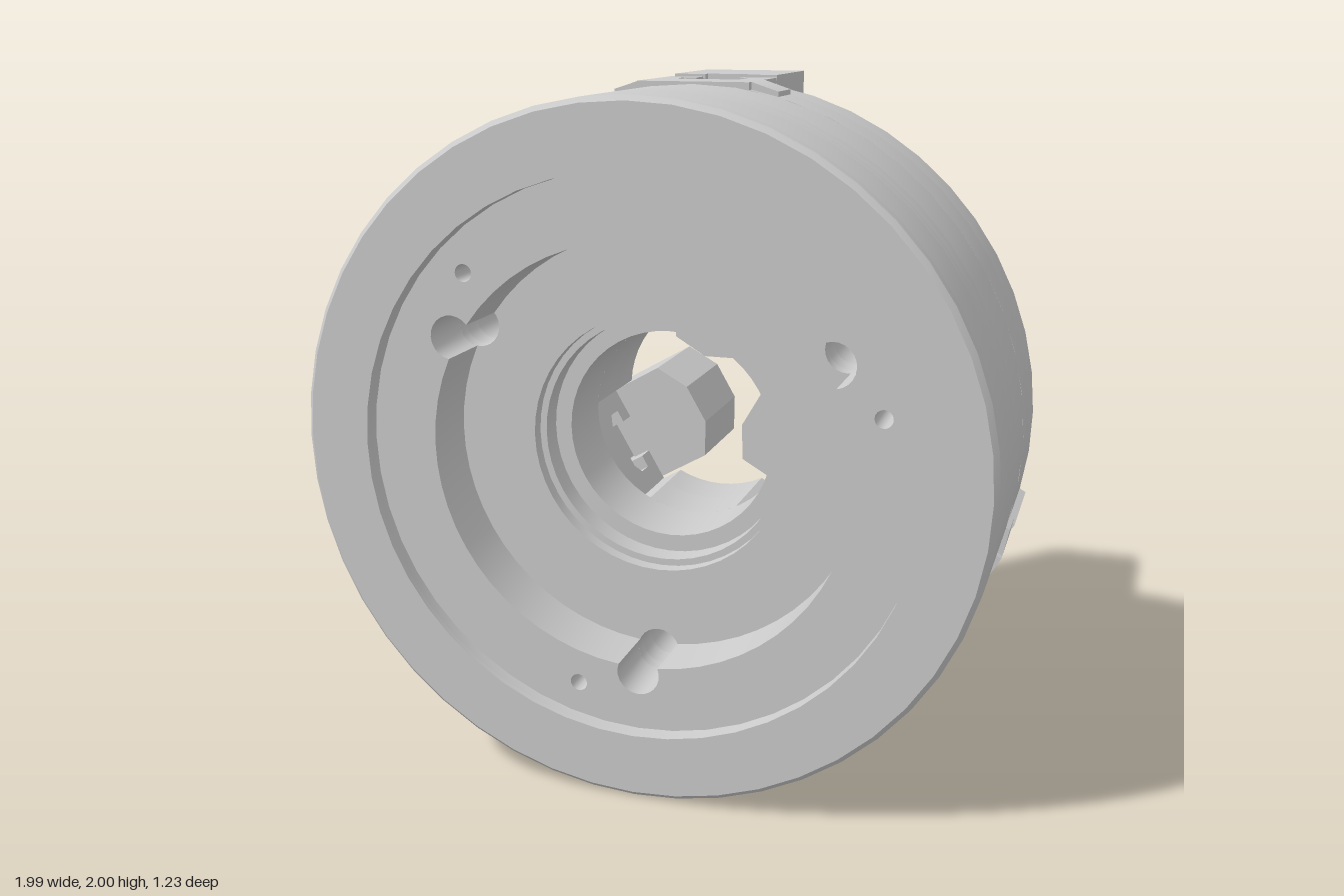
import * as THREE from 'three';
import { toCreasedNormals } from 'three/addons/utils/BufferGeometryUtils.js';

const R = 0.993;      // body radius, also the height of the axis
const BORE = 0.31;
const BOLT_R = 0.63;  // bolt circle
const SLOT = 0.17;    // half width of a jaw slot
const JAW_END = 1.007;
const rad = THREE.MathUtils.degToRad;
const material = new THREE.MeshStandardMaterial({ color: 0xcccccc });

// points along an arc
function arc(r, a0, a1, n, cx = 0, cy = 0) {
  return Array.from({ length: n + 1 }, (_, i) => {
    const a = a0 + (a1 - a0) * i / n;
    return new THREE.Vector2(cx + r * Math.cos(a), cy + r * Math.sin(a));
  });
}
const circle = (r, cx = 0, cy = 0, n = 24) => arc(r, 0, Math.PI * 2, n, cx, cy).slice(0, n);
const polar = (r, deg, size) => circle(size, r * Math.cos(rad(deg)), r * Math.sin(rad(deg)));
const points = (list) => list.map(([x, y]) => new THREE.Vector2(x, y));
const mirrored = (half) => points([...half, ...half.slice().reverse().map(([x, y]) => [-x, y])]);

// prism between two depths
function prism(outline, holes, z0, z1) {
  const shape = new THREE.Shape(outline);
  shape.holes = holes.map((h) => new THREE.Path(h));
  const geometry = new THREE.ExtrudeGeometry(shape, { depth: z1 - z0, bevelEnabled: false });
  return geometry.translate(0, 0, z0);
}

function add(parent, name, geometry) {
  const mesh = new THREE.Mesh(toCreasedNormals(geometry, rad(28)), material);
  mesh.name = name;
  parent.add(mesh);
  return mesh;
}

// pull the outer edge in at one end of a prism
function chamfer(geometry, z, r) {
  const p = geometry.attributes.position;
  for (let i = 0; i < p.count; i++) {
    const d = Math.hypot(p.getX(i), p.getY(i));
    if (d > R - 0.01 && Math.abs(p.getZ(i) - z) < 1e-4) {
      p.setXY(i, p.getX(i) * r / d, p.getY(i) * r / d);
    }
  }
  geometry.computeVertexNormals();
  return geometry;
}

// recess wall, notched where the bolt holes cut into it
function notchedRecess(r, hole) {
  const d = Math.acos((r * r + BOLT_R ** 2 - hole * hole) / (2 * r * BOLT_R));
  const b = Math.atan2(r * Math.sin(d), r * Math.cos(d) - BOLT_R);
  return [30, 150, 270].flatMap((deg) => {
    const a = rad(deg);
    const bulge = arc(hole, a - b, a + b, 14, BOLT_R * Math.cos(a), BOLT_R * Math.sin(a));
    const wall = arc(r, a + d, a + rad(120) - d, 18).slice(1, -1);
    return [...bulge, ...wall];
  });
}

function buildBody() {
  const body = new THREE.Group();
  body.name = 'chuckBody';
  const outer = circle(R, 0, 0, 48);
  const ring = (r) => circle(r, 0, 0, 48);
  const bolts = [30, 150, 270].map((deg) => polar(BOLT_R, deg, 0.063));
  const pins = [15, 135, 255].map((deg) => polar(0.707, deg, 0.025));

  // stepped front side
  add(body, 'frontChamfer', chamfer(prism(outer, [ring(0.8)], 0.597, 0.612), 0.612, R - 0.015));
  add(body, 'frontRim', prism(outer, [ring(0.8)], 0.56, 0.597));
  add(body, 'mountingRecess', prism(outer, [notchedRecess(0.61, 0.063), ...pins], 0.38, 0.56));
  add(body, 'boreStep', prism(outer, [ring(0.38), ...bolts], 0.34, 0.38));
  add(body, 'innerBoreStep', prism(outer, [ring(0.36), ...bolts], 0.27, 0.34));
  add(body, 'core', prism(outer, [ring(BORE), ...bolts], 0.055, 0.27));

  // back side, three sectors between the jaw slots
  for (const deg of [30, 150, 270]) {
    const a = rad(deg);
    const half = (r) => rad(60) - Math.asin(SLOT / r);
    const sector = [
      ...arc(R, a - half(R), a + half(R), 14),
      ...arc(BORE, a + half(BORE), a - half(BORE), 8),
    ];
    const counterbore = polar(BOLT_R, deg, 0.095);
    add(body, 'backSector', prism(sector, [polar(BOLT_R, deg, 0.063)], -0.1, 0.055));
    add(body, 'counterboredSector', prism(sector, [counterbore], -0.23, -0.1));
    add(body, 'backChamfer', chamfer(prism(sector, [counterbore], -0.245, -0.23), -0.245, R - 0.015));
  }
  return body;
}

// one jaw assembly, pointing along +y from the axis
function buildJaw() {
  const jaw = new THREE.Group();
  jaw.name = 'jawAssembly';

  // top jaw with pointed tip, screw holes and a keyway underneath
  const w = 0.165;
  const side = [[0.065, 0.11], [w, 0.17], [w, JAW_END]];
  const screws = [0.525, 0.75];
  add(jaw, 'topJaw', prism(mirrored(side), screws.map((y) => circle(0.095, 0, y)), -0.615, -0.305));
  const keyed = [...side, [0.065, JAW_END], [0.065, 0.4]];
  add(jaw, 'topJawBase', prism(mirrored(keyed), [], -0.305, -0.275));

  // socket screws
  for (const y of screws) {
    add(jaw, 'jawScrew', prism(circle(0.088, 0, y), [circle(0.048, 0, y, 6)], -0.5, -0.3));
  }

  // master jaw: T section with a T-slot, extruded along the radius
  const alongRadius = (outline, r0, r1) => prism(outline, [], r0, r1).rotateX(-Math.PI / 2);
  const section = mirrored([
    [0.075, 0.1], [0.105, 0.13], [0.105, 0.185], [0.065, 0.185], [0.065, 0.25],
    [SLOT, 0.25], [SLOT, 0.11], [0.25, 0.11], [0.25, -0.03], [SLOT, -0.03], [SLOT, -0.055],
  ]);
  const master = alongRadius(section, 0.33, 1.0);
  const p = master.attributes.position;
  for (let i = 0; i < p.count; i++) {
    if (Math.abs(p.getX(i)) > 0.2 && p.getY(i) > 0.9) p.setY(i, 0.974);
  }
  master.computeVertexNormals();
  add(jaw, 'masterJaw', master);

  // T-nut inside the slot
  const nut = mirrored([
    [0.07, 0.105], [0.098, 0.132], [0.098, 0.18], [0.062, 0.18], [0.062, 0.305],
  ]);
  add(jaw, 'slotNut', alongRadius(nut, 0.41, 0.87));

  // serrations between master jaw and top jaw, on both sides of the keyway
  const teeth = 40, r0 = 0.34, r1 = 0.995;
  const profile = [[0.245, r0]];
  for (let i = 0; i <= teeth * 2; i++) {
    profile.push([i % 2 ? 0.278 : 0.262, r0 + (r1 - r0) * i / (teeth * 2)]);
  }
  profile.push([0.245, r1]);
  for (const x0 of [-w, 0.065]) {
    const strip = prism(points(profile), [], 0, w - 0.065);
    strip.rotateY(Math.PI / 2).translate(x0, 0, 0);
    add(jaw, 'serration', strip);
  }
  return jaw;
}

export function createModel() {
  const model = new THREE.Group();
  model.name = 'threeJawChuck';
  const chuck = new THREE.Group();
  chuck.name = 'chuck';
  chuck.position.y = R;
  chuck.add(buildBody());
  for (let i = 0; i < 3; i++) {
    const jaw = buildJaw();
    jaw.rotation.z = rad(120 * i);
    chuck.add(jaw);
  }
  model.add(chuck);
  return model;
}
